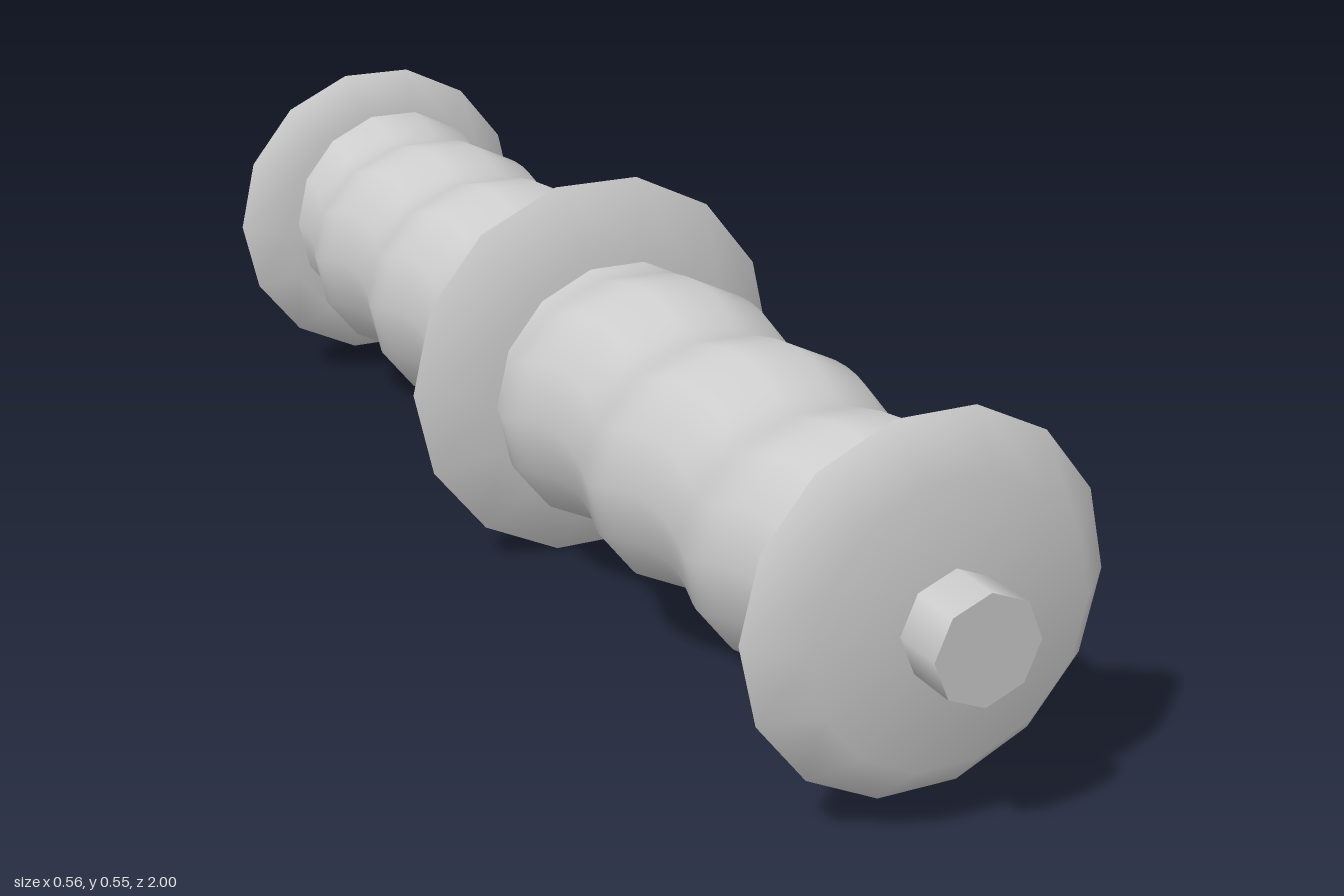
import * as THREE from 'three';
import { mergeVertices } from 'three/addons/utils/BufferGeometryUtils.js';

const AXIS_Y = 0.273; // height of the long axis
const SIDES = 14;

export function createModel() {
  const model = new THREE.Group();
  model.name = 'grippedHandle';
  const grey = new THREE.MeshStandardMaterial({ color: 0xcccccc });
  grey.name = 'light grey';

  const add = (name, geometry, z = 0) => {
    const mesh = new THREE.Mesh(geometry, grey);
    mesh.name = name;
    mesh.position.set(0, AXIS_Y, z);
    model.add(mesh);
  };

  // Bevelled disc: two smooth domed halves meeting at a sharp rim
  const addDisc = (name, z, rim, face, half) => {
    const halves = {
      Back: [[0, -half], [face, -half], [rim, 0]],
      Front: [[rim, 0], [face, half], [0, half]],
    };
    for (const [side, profile] of Object.entries(halves)) {
      const points = profile.map(([r, h]) => new THREE.Vector2(r, h));
      const geometry = new THREE.LatheGeometry(points, SIDES, Math.PI / 2);
      add(name + side, geometry.rotateX(Math.PI / 2), z);
    }
  };
  addDisc('centreDisc', 0, 0.28, 0.19, 0.06);
  addDisc('frontDisc', 0.873, 0.242, 0.182, 0.057);
  addDisc('backDisc', -0.867, 0.247, 0.188, 0.057);

  // Grip: tapered tube whose centre winds round the axis like a corkscrew
  const addGrip = (name, z0, z1, r0, r1) => {
    const length = z1 - z0;
    let geometry = new THREE.CylinderGeometry(1, 1, length, SIDES, 40, true, Math.PI / 2);
    geometry.rotateX(Math.PI / 2).translate(0, 0, (z0 + z1) / 2);
    const p = geometry.attributes.position;
    for (let i = 0; i < p.count; i++) {
      const z = p.getZ(i);
      const r = THREE.MathUtils.lerp(r0, r1, (z - z0) / length);
      const turn = Math.PI - (2 * Math.PI * (z - 0.14)) / 0.26;
      p.setXY(i, p.getX(i) * r + 0.013 * Math.cos(turn), p.getY(i) * r + 0.013 * Math.sin(turn));
    }
    // weld the seam so the shading is continuous
    geometry.deleteAttribute('uv');
    geometry.deleteAttribute('normal');
    geometry = mergeVertices(geometry, 1e-5);
    geometry.computeVertexNormals();
    add(name, geometry);
  };
  addGrip('frontGrip', 0.04, 0.83, 0.185, 0.163);
  addGrip('backGrip', -0.83, -0.04, 0.174, 0.186);

  // Octagonal end pegs
  for (const s of [1, -1]) {
    const peg = new THREE.CylinderGeometry(0.07, 0.07, 0.1, 8).rotateX(Math.PI / 2);
    add(s > 0 ? 'frontPeg' : 'backPeg', peg, s * 0.95);
  }
  return model;
}
